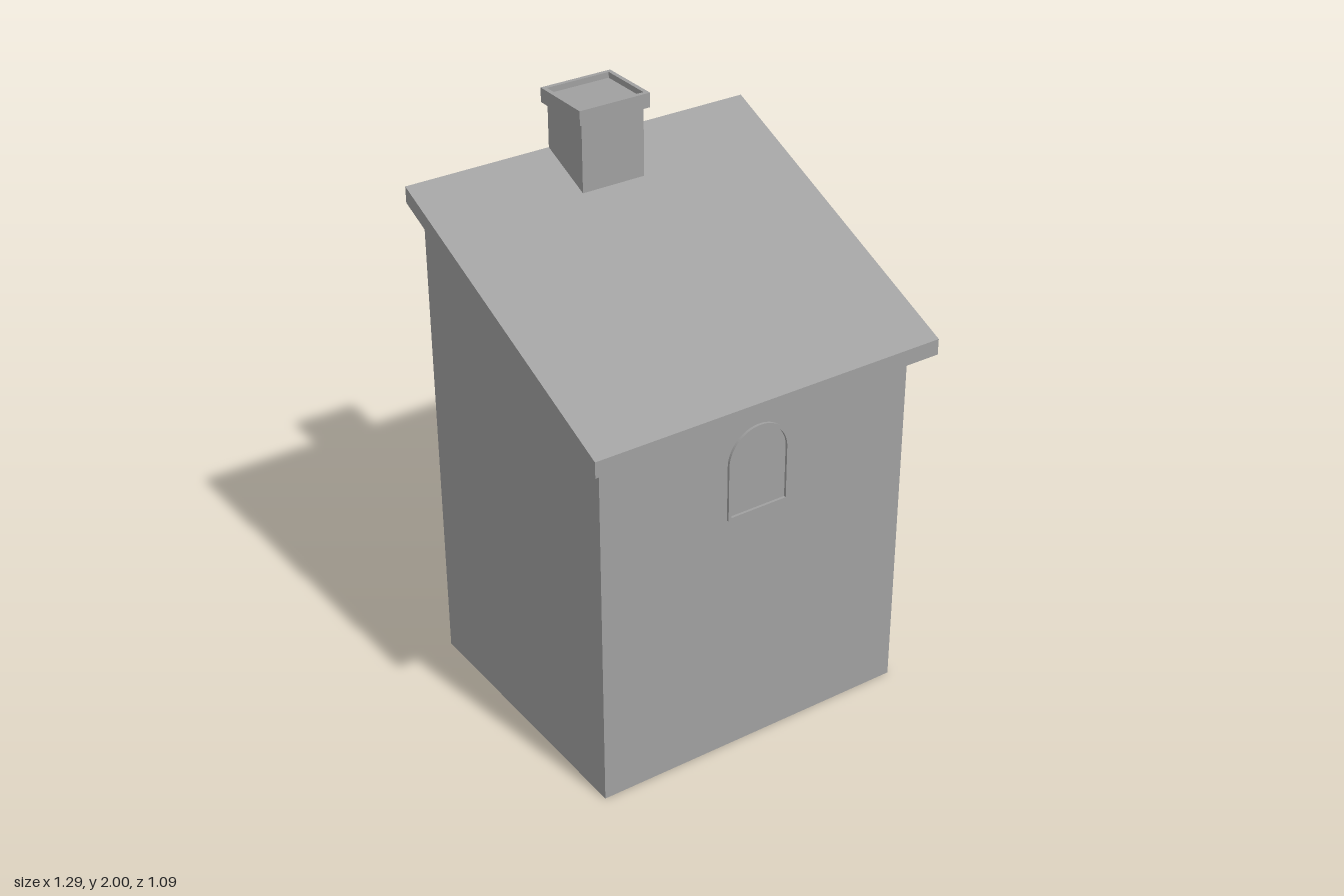
import * as THREE from 'three';

const stone = new THREE.MeshStandardMaterial({ color: 0xa0a0a0 });
stone.name = 'grey stone';

const BACK = -0.532, WALL = 0.472, EAVE = 0.545;
// Height of the sloping roof surface at a given depth
const roofTop = (z) => 1.795 - ((z - BACK) / (EAVE - BACK)) * 0.455;
const roofUnder = (z) => roofTop(z) - 0.056;

function part(name, geometry) {
  const mesh = new THREE.Mesh(geometry, stone);
  mesh.name = name;
  return mesh;
}

// Side profile given as [z, y] points, extruded from x0 to x1
function prism(name, profile, x0, x1) {
  const shape = new THREE.Shape(profile.map(([z, y]) => new THREE.Vector2(-z, y)));
  const geometry = new THREE.ExtrudeGeometry(shape, { depth: x1 - x0, bevelEnabled: false });
  geometry.rotateY(Math.PI / 2).translate(x0, 0, 0);
  return part(name, geometry);
}

// Arch outline: straight sides with a half-round head
function arch(path, cx, halfWidth, bottom, spring) {
  path.moveTo(cx - halfWidth, bottom);
  path.lineTo(cx + halfWidth, bottom);
  path.lineTo(cx + halfWidth, spring);
  path.absarc(cx, spring, halfWidth, 0, Math.PI, false);
  path.closePath();
  return path;
}

function rectangle(path, x0, x1, y0, y1) {
  path.moveTo(x0, y0);
  path.lineTo(x1, y0);
  path.lineTo(x1, y1);
  path.lineTo(x0, y1);
  path.closePath();
  return path;
}

export function createModel() {
  const house = new THREE.Group();
  house.name = 'house';

  // Walls rising to the underside of the lean-to roof
  house.add(prism('walls', [
    [WALL, 0], [BACK, 0], [BACK, roofUnder(BACK)], [WALL, roofUnder(WALL)],
  ], -0.587, 0.582));

  // Sloping roof slab, overhanging the front and both sides
  house.add(prism('roof', [
    [EAVE, roofUnder(EAVE)], [BACK, roofUnder(BACK)], [BACK, roofTop(BACK)], [EAVE, roofTop(EAVE)],
  ], -0.645, 0.645));

  // Chimney shaft, flush with the back wall
  const chimney = new THREE.Group();
  chimney.name = 'chimney';
  const front = -0.33, x0 = -0.12, x1 = 0.114;
  chimney.add(prism('chimneyShaft', [
    [front, roofTop(front)], [BACK, roofTop(BACK)], [BACK, 1.98], [front, 1.98],
  ], x0, x1));

  // Square collar around the chimney top
  const collar = rectangle(new THREE.Shape(), x0 - 0.015, x1 + 0.015, -front - 0.015, -BACK + 0.015);
  collar.holes.push(rectangle(new THREE.Path(), x0, x1, -front, -BACK));
  const collarGeometry = new THREE.ExtrudeGeometry(collar, { depth: 0.05, bevelEnabled: false });
  collarGeometry.rotateX(-Math.PI / 2).translate(0, 1.95, 0);
  chimney.add(part('chimneyCollar', collarGeometry));
  house.add(chimney);

  // Thin arched window frame on the front wall
  const frame = arch(new THREE.Shape(), -0.003, 0.116, 0.9, 1.098);
  frame.holes.push(arch(new THREE.Path(), -0.003, 0.106, 0.91, 1.098));
  const frameGeometry = new THREE.ExtrudeGeometry(frame, {
    depth: 0.009, bevelEnabled: false, curveSegments: 24,
  });
  frameGeometry.translate(0, 0, WALL);
  house.add(part('windowFrame', frameGeometry));

  return house;
}
